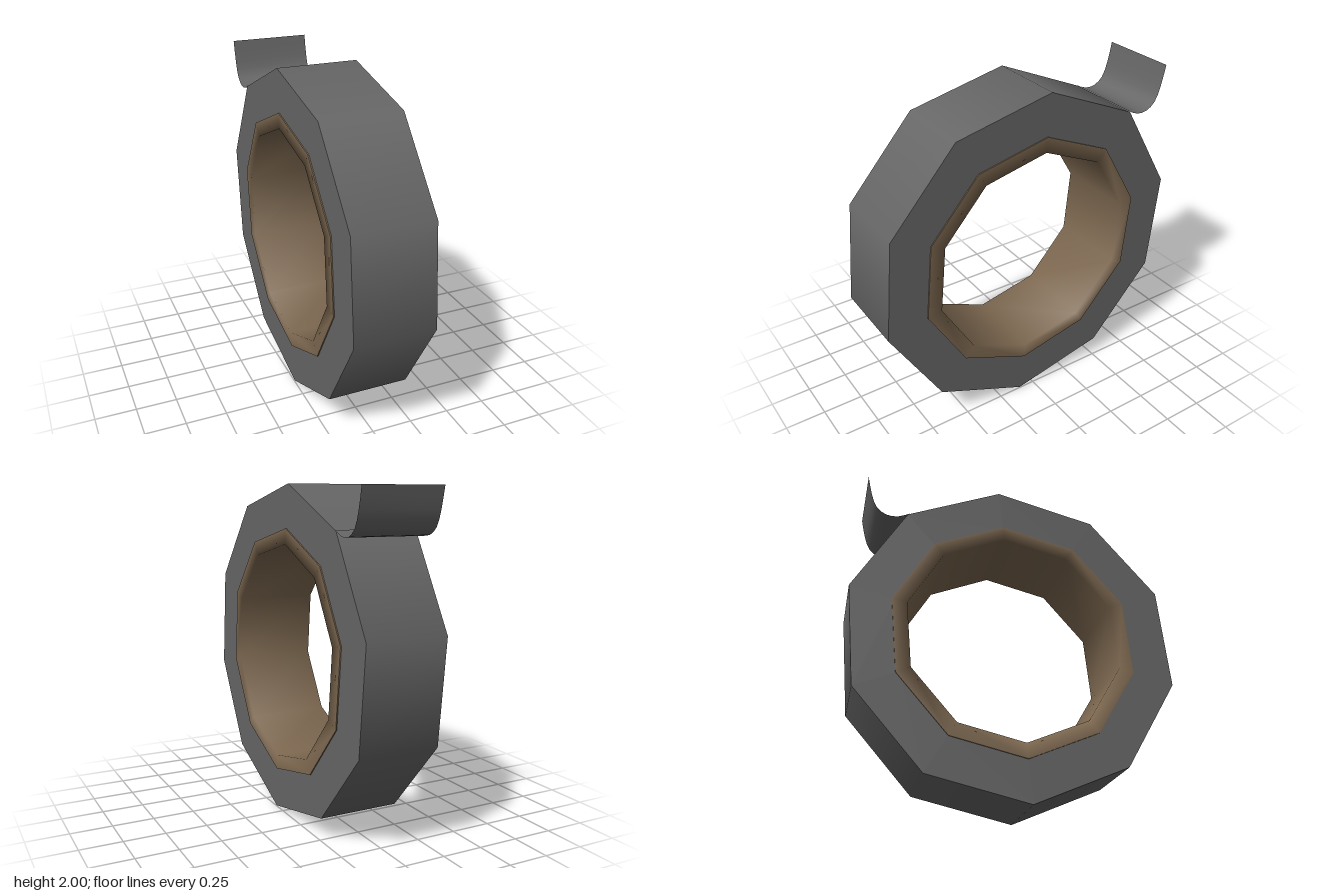
import * as THREE from 'three';

const SIDES = 10;
const START = THREE.MathUtils.degToRad(12.3);
const HALF = 0.246;      // half width of the tape
const OUTER = 1.005;     // tape radius
const RIM = 0.75;        // where tape meets the core
const HOLE = 0.658;      // inside of the core

// Ten-sided surface of revolution about the x axis; profile is [radius, x]
function ring(name, profile, material) {
  const points = profile.map(([r, x]) => new THREE.Vector2(r, x));
  const geometry = new THREE.LatheGeometry(points, SIDES, START);
  geometry.rotateZ(-Math.PI / 2);
  const mesh = new THREE.Mesh(geometry, material);
  mesh.name = name;
  mesh.position.y = 1;
  return mesh;
}

export function createModel() {
  const tapeGrey = new THREE.MeshStandardMaterial({ color: 0x666666, side: THREE.DoubleSide });
  tapeGrey.name = 'tape grey';
  const cardboard = new THREE.MeshStandardMaterial({ color: 0x7d6850 });
  cardboard.name = 'cardboard brown';

  const model = new THREE.Group();
  model.name = 'tapeRoll';

  // Wound tape: outer wall and the two flat sides, kept apart for sharp edges
  model.add(
    ring('tapeWall', [[OUTER, -HALF], [OUTER, HALF]], tapeGrey),
    ring('tapeLeftSide', [[OUTER, HALF], [RIM - 0.02, HALF]], tapeGrey),
    ring('tapeRightSide', [[RIM - 0.02, -HALF], [OUTER, -HALF]], tapeGrey),
  );

  // Cardboard core: rims softly shaded into the inner wall, slightly proud of the tape
  const lip = HALF + 0.007;
  model.add(
    ring('core', [[RIM, lip], [HOLE, lip], [HOLE, -lip], [RIM, -lip]], cardboard),
    ring('coreLeftEdge', [[RIM, HALF - 0.01], [RIM, lip]], cardboard),
    ring('coreRightEdge', [[RIM, -lip], [RIM, -HALF + 0.01]], cardboard),
  );

  // Loose tape end: a thin strip peeling off the upper back corner and curling up
  const curve = new THREE.CatmullRomCurve3([
    [1.757, -0.66], [1.725, -0.73], [1.728, -0.80], [1.77, -0.858], [1.86, -0.895], [1.985, -0.923],
  ].map(([y, z]) => new THREE.Vector3(0, y, z)));
  const steps = 10;
  const strip = new THREE.PlaneGeometry(2 * HALF, 1, 1, steps);
  const position = strip.attributes.position;
  for (let i = 0; i < position.count; i++) {
    const p = curve.getPoint(position.getY(i) + 0.5);
    position.setXYZ(i, position.getX(i), p.y, p.z);
  }
  strip.computeVertexNormals();
  const flap = new THREE.Mesh(strip, tapeGrey);
  flap.name = 'looseTapeEnd';
  model.add(flap);

  return model;
}
